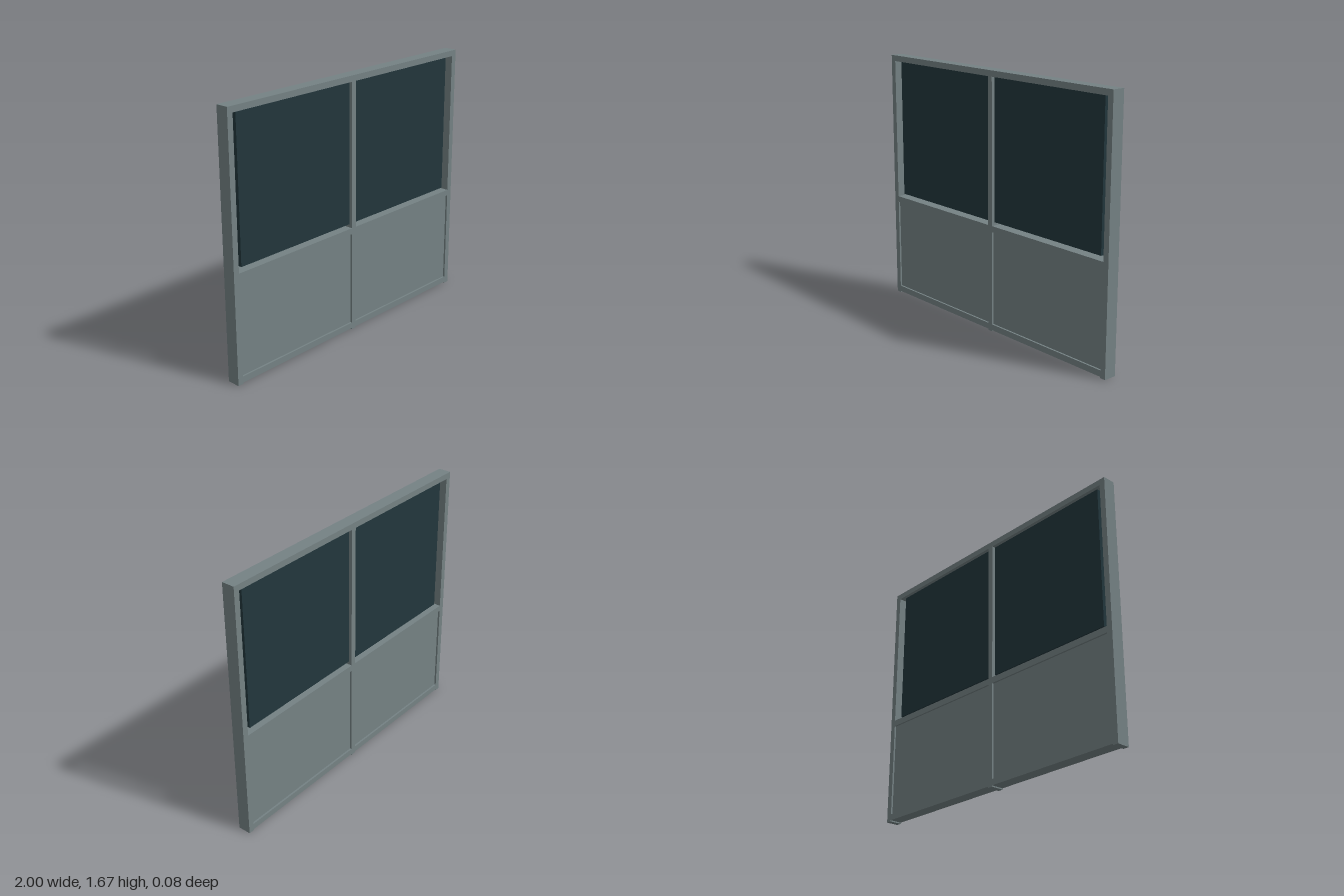
import * as THREE from 'three';

export function createModel() {
  const model = new THREE.Group();
  model.name = 'windowWall';

  const frameGrey = new THREE.MeshStandardMaterial({ color: 0x758284 });
  frameGrey.name = 'frameGrey';
  const darkGlass = new THREE.MeshStandardMaterial({ color: 0x22363c });
  darkGlass.name = 'darkGlass';

  // Box given by its x and y limits and its depth, centred on z = 0
  function bar(name, x0, x1, y0, y1, depth, material) {
    const mesh = new THREE.Mesh(new THREE.BoxGeometry(x1 - x0, y1 - y0, depth), material);
    mesh.position.set((x0 + x1) / 2, (y0 + y1) / 2, 0);
    mesh.name = name;
    model.add(mesh);
  }

  const top = 1.675, depth = 0.084, inner = 0.962, half = 0.018;

  // Uprights: outer stiles and the central mullion
  bar('rightStile', -1, -inner, 0, top, depth, frameGrey);
  bar('leftStile', inner, 1, 0, top, depth, frameGrey);
  bar('mullion', -half, half, 0, 1.637, depth, frameGrey);

  // Rails on each side of the mullion, the top one running across
  bar('topRail', -inner, inner, 1.637, top, depth, frameGrey);
  for (const [side, x0, x1] of [['right', -inner, -half], ['left', half, inner]]) {
    bar(side + 'MiddleRail', x0, x1, 0.663, 0.703, depth, frameGrey);
    bar(side + 'BottomRail', x0, x1, 0.008, 0.048, depth, frameGrey);
    // Slightly recessed lower panel
    bar(side + 'LowerPanel', x0, x1, 0.048, 0.663, 0.06, frameGrey);
  }

  // Glass panes, held clear of the stiles and the middle rail
  bar('rightPane', -0.923, -half, 0.724, 1.637, 0.04, darkGlass);
  bar('leftPane', half, 0.923, 0.724, 1.637, 0.04, darkGlass);

  return model;
}
